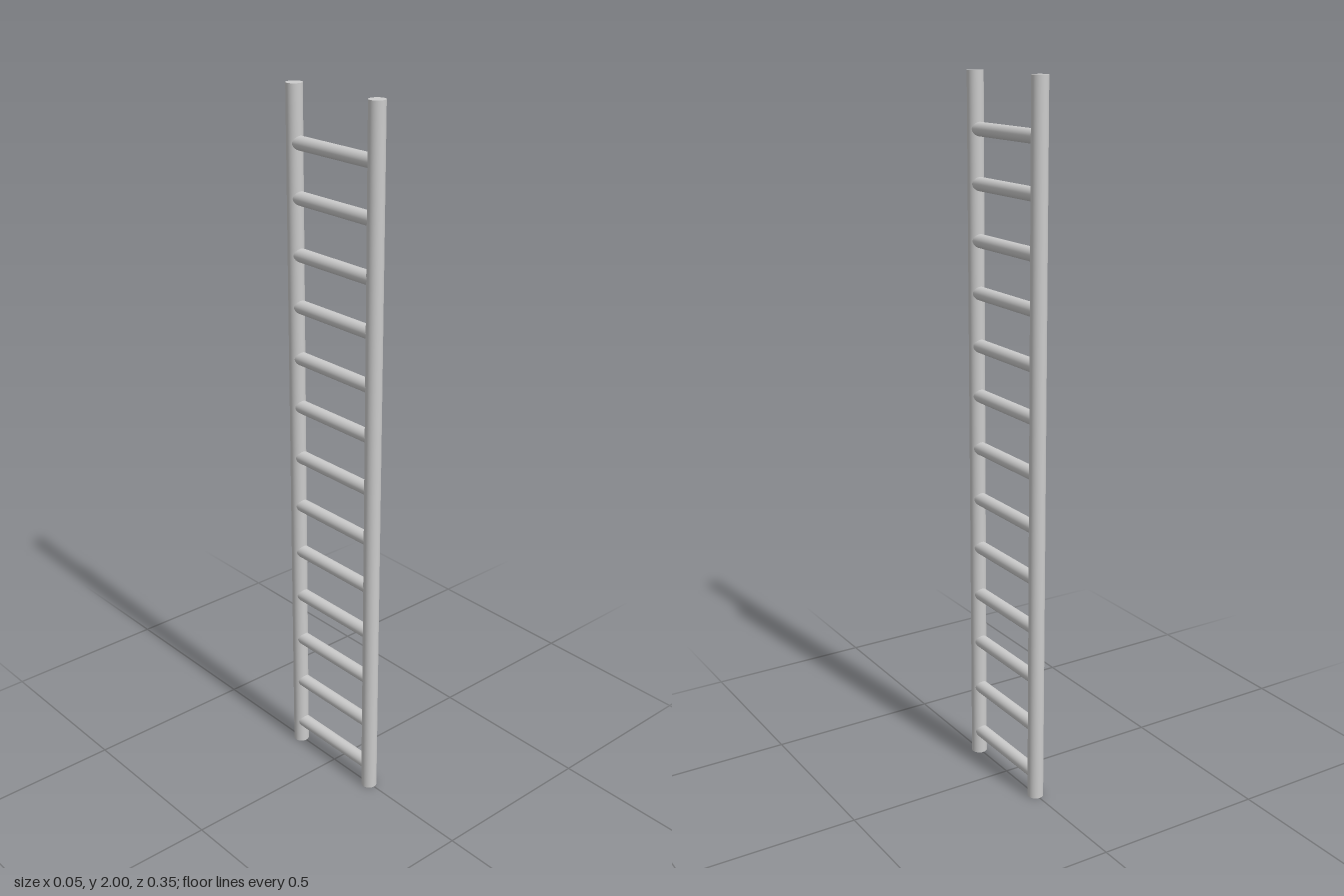
import * as THREE from 'three';

const RAIL_Z = 0.155, RAIL_RADIUS = 0.0225, RUNG_RADIUS = 0.019, HEIGHT = 2;

// Rung heights, slightly uneven
const RUNG_HEIGHTS = [0.07, 0.217, 0.366, 0.516, 0.662, 0.811, 0.963, 1.117, 1.26, 1.408, 1.552, 1.705, 1.849];

export function createModel() {
  const ladder = new THREE.Group();
  ladder.name = 'ladder';
  const material = new THREE.MeshStandardMaterial({ color: 0xcccccc });

  // Two upright round rails
  const railGeometry = new THREE.CylinderGeometry(RAIL_RADIUS, RAIL_RADIUS, HEIGHT, 40);
  for (const [name, side] of [['frontRail', 1], ['backRail', -1]]) {
    const rail = new THREE.Mesh(railGeometry, material);
    rail.name = name;
    rail.position.set(0, HEIGHT / 2, side * RAIL_Z);
    ladder.add(rail);
  }

  // Round rungs, their ends sunk inside the rails
  const rungGeometry = new THREE.CylinderGeometry(RUNG_RADIUS, RUNG_RADIUS, RAIL_Z * 2, 40);
  rungGeometry.rotateX(Math.PI / 2);
  RUNG_HEIGHTS.forEach((y, i) => {
    const rung = new THREE.Mesh(rungGeometry, material);
    rung.name = `rung${i + 1}`;
    rung.position.y = y;
    ladder.add(rung);
  });

  return ladder;
}
